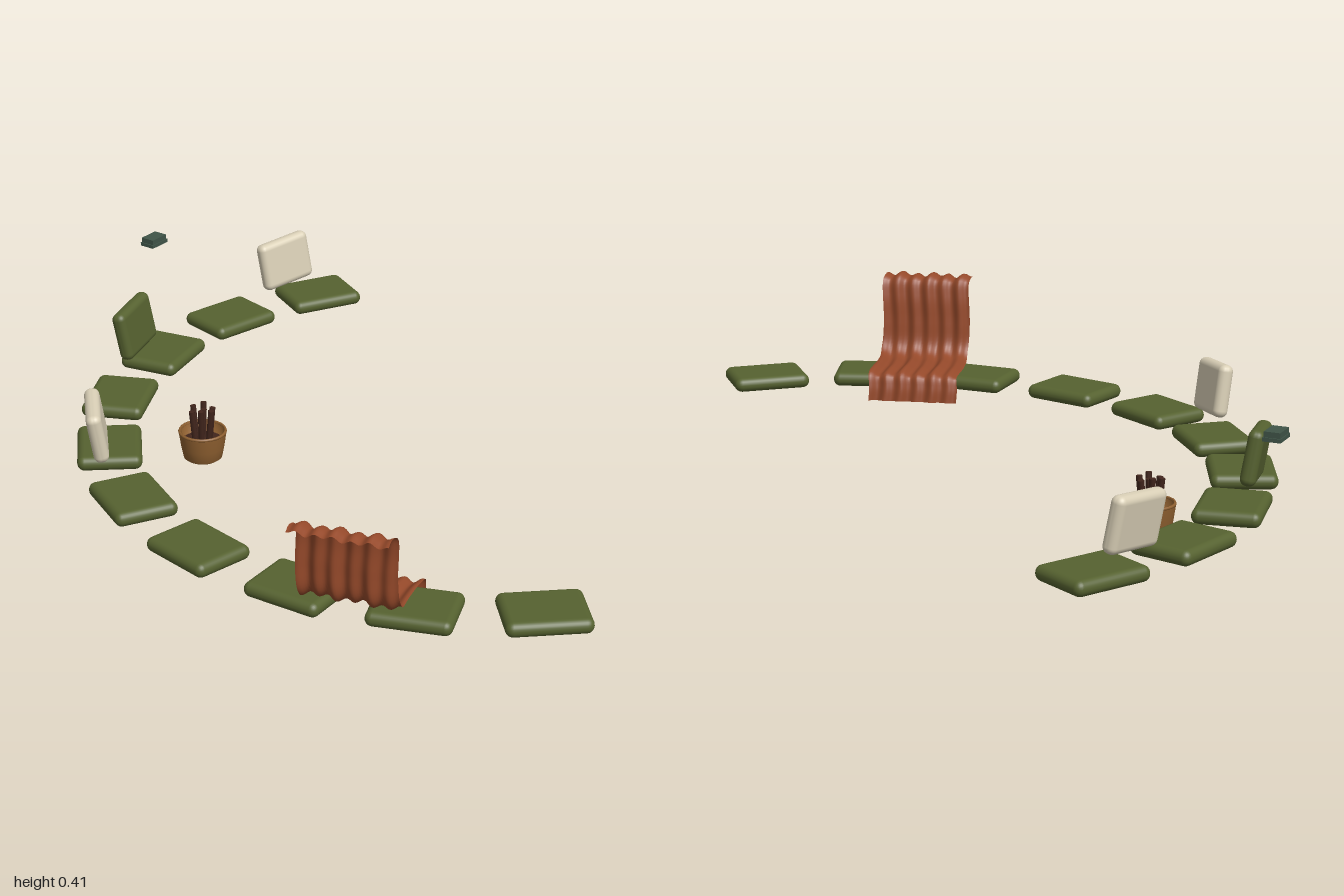
import * as THREE from 'three';
import { RoundedBoxGeometry } from 'three/addons/geometries/RoundedBoxGeometry.js';

export function createModel() {
  const model = new THREE.Group();
  const mat = (name, color, side = THREE.FrontSide) => {
    const m = new THREE.MeshStandardMaterial({ color, side });
    m.name = name;
    return m;
  };
  const olive = mat('olive fabric', 0x566230);
  const cream = mat('cream fabric', 0xd9cfb6);
  const rust = mat('rust blanket', 0x95492a, THREE.DoubleSide);
  const wicker = mat('wicker', 0x8f6030, THREE.DoubleSide);
  const wood = mat('dark wood', 0x41251c);
  const cover = mat('book cover', 0x405548);

  const add = (name, geometry, material, x, y, z, parent = model) => {
    const mesh = new THREE.Mesh(geometry, material);
    mesh.name = name;
    mesh.position.set(x, y, z);
    parent.add(mesh);
    return mesh;
  };

  // Seat cushions set along an arc: x, z, turn
  const seatGeo = new RoundedBoxGeometry(0.2, 0.037, 0.16, 3, 0.018);
  [
    [0.45, -0.92, 0], [0.165, -0.875, 0.27], [-0.09, -0.74, 0.7],
    [-0.295, -0.535, 0.94], [-0.425, -0.28, 1.2], [-0.475, 0, Math.PI / 2],
    [-0.43, 0.29, -1.27], [-0.3, 0.555, -1.03], [-0.105, 0.755, -0.7],
    [0.147, 0.892, -0.33],
  ].forEach(([x, z, turn], i) => {
    add(`seatCushion${i + 1}`, seatGeo, olive, x, 0.158, z).rotation.y = turn;
  });

  // Upright pillows leaning slightly outwards
  const pillowGeo = new RoundedBoxGeometry(0.16, 0.132, 0.038, 3, 0.017);
  [
    [0.363, -0.95, 0.2, cream], [-0.18, -0.715, 0.7, olive], [-0.485, -0.205, 1.22, cream],
  ].forEach(([x, z, turn, material], i) => {
    const pillow = add(`backPillow${i + 1}`, pillowGeo, material, x, 0.265, z);
    pillow.rotation.set(-0.16, turn, 0.085, 'YXZ');
  });

  // Draped blanket: a profile swept across its width, with folds along its length
  const drape = new THREE.CatmullRomCurve3([
    [0, 0.398], [0.03, 0.402], [0.055, 0.392], [0.066, 0.35], [0.069, 0.28],
    [0.076, 0.22], [0.1, 0.194], [0.16, 0.188], [0.23, 0.186], [0.265, 0.178],
    [0.276, 0.15], [0.282, 0.113],
  ].map(([z, y]) => new THREE.Vector3(0, y, z)));
  const blanketGeo = new THREE.PlaneGeometry(0.235, 1, 48, 60);
  const pos = blanketGeo.attributes.position;
  for (let i = 0; i < pos.count; i++) {
    const x = pos.getX(i);
    const t = 0.5 - pos.getY(i);
    const p = drape.getPoint(t);
    const tangent = drape.getTangent(t);
    const fold = 0.005 * Math.sin(x * 150 + Math.sin(t * 7) * 0.6)
      + 0.0025 * Math.sin(x * 67 + t * 5);
    pos.setXYZ(i, x + 0.002 * Math.sin(t * 22), p.y + tangent.z * fold, p.z - tangent.y * fold);
  }
  blanketGeo.computeVertexNormals();
  add('blanket', blanketGeo, rust, -0.315, 0, 0.788).rotation.y = Math.PI * 0.75;

  // Basket with a hollow inside
  const basket = new THREE.Group();
  basket.name = 'basket';
  basket.position.set(-0.12, 0, -0.41);
  model.add(basket);
  const basketProfile = [
    [0, 0.004], [0.042, 0.004], [0.05, 0.01], [0.056, 0.04], [0.062, 0.08],
    [0.061, 0.085], [0.056, 0.084], [0.05, 0.045], [0, 0.045],
  ].map(([x, y]) => new THREE.Vector2(x, y));
  add('basketBody', new THREE.LatheGeometry(basketProfile, 28), wicker, 0, 0, 0, basket);
  const rim = add('basketRim', new THREE.TorusGeometry(0.059, 0.004, 8, 28), wicker, 0, 0.081, 0, basket);
  rim.rotation.x = Math.PI / 2;
  add('basketFilling', new THREE.CylinderGeometry(0.052, 0.05, 0.006, 24), wood, 0, 0.052, 0, basket);

  // Sticks standing in the basket
  const stickGeo = new THREE.CylinderGeometry(0.008, 0.008, 0.1, 8);
  for (let i = 0; i < 7; i++) {
    const a = i * Math.PI / 3;
    const r = i === 6 ? 0 : 0.024;
    const stick = add(`stick${i + 1}`, stickGeo, wood,
      Math.cos(a) * r, 0.092 + 0.004 * (i % 3), Math.sin(a) * r, basket);
    stick.rotation.set(Math.sin(a) * 0.1, 0, -Math.cos(a) * 0.1);
  }

  // Small stack of books
  const books = new THREE.Group();
  books.name = 'books';
  books.position.set(-0.022, 0.38, -0.957);
  books.rotation.y = 0.5;
  model.add(books);
  add('lowerBook', new THREE.BoxGeometry(0.062, 0.009, 0.042), cover, 0, 0.0045, 0, books);
  add('upperBook', new THREE.BoxGeometry(0.056, 0.013, 0.038), cover, 0, 0.0155, 0, books);

  return model;
}
